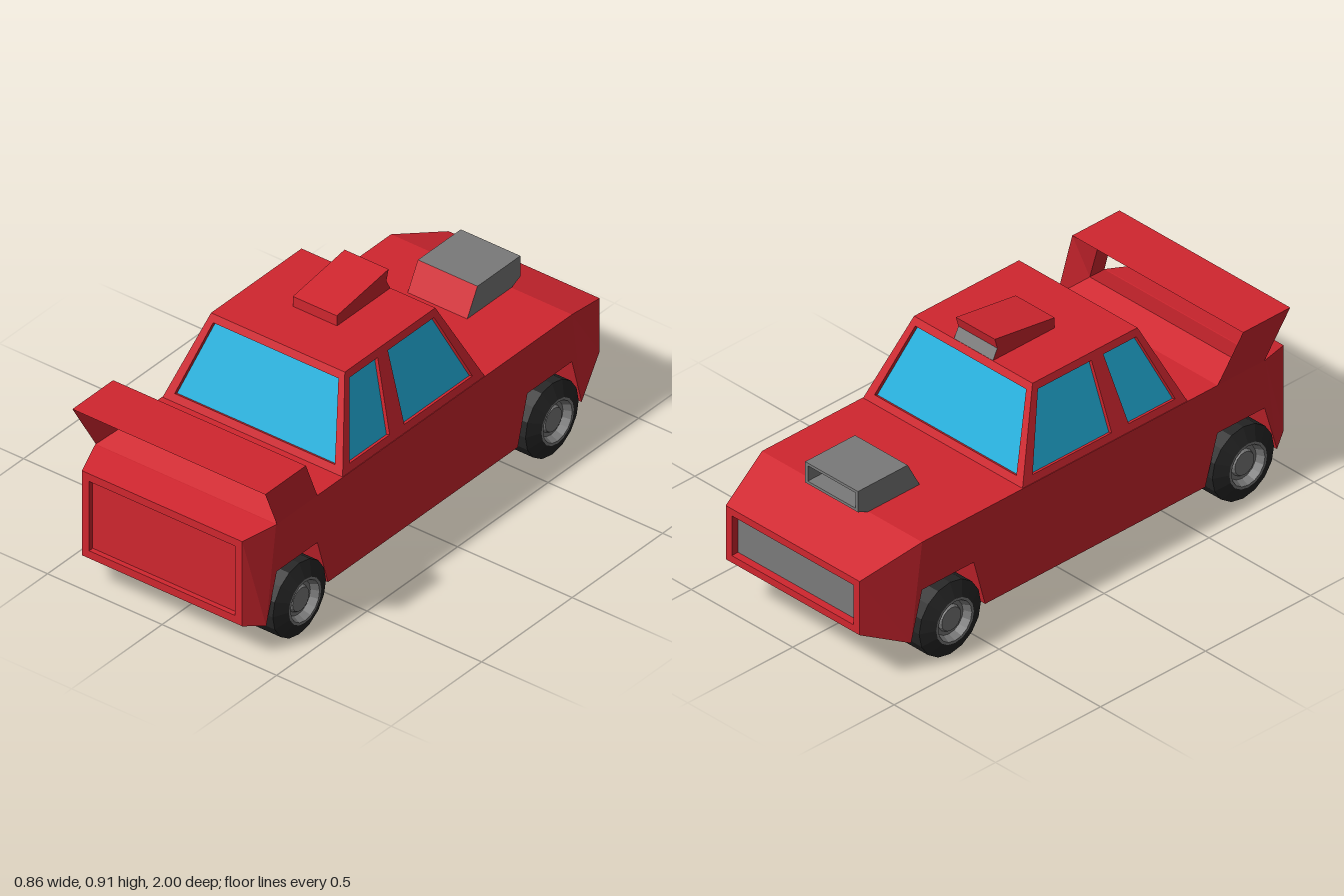
import * as THREE from 'three';

const mat = (color, side = THREE.FrontSide) => new THREE.MeshStandardMaterial({ color, flatShading: true, side });
const red = mat(0xd0262f), glass = mat(0x22b0dc), black = mat(0x262626), grey = mat(0x7a7a7a);

// Flat-shaded mesh from a list of quads (corners anticlockwise from outside)
function quadMesh(name, quads, material) {
  const pos = [];
  for (const [a, b, c, d] of quads) for (const p of [a, b, c, a, c, d]) pos.push(...p);
  const g = new THREE.BufferGeometry();
  g.setAttribute('position', new THREE.Float32BufferAttribute(pos, 3));
  g.computeVertexNormals();
  const m = new THREE.Mesh(g, material);
  m.name = name;
  return m;
}

// Quads joining successive four-corner rings
function skin(rings) {
  const quads = [];
  for (let k = 0; k + 1 < rings.length; k++) {
    const a = rings[k], b = rings[k + 1];
    for (let i = 0; i < 4; i++) {
      const j = (i + 1) % 4;
      quads.push([a[i], a[j], b[j], b[i]]);
    }
  }
  return quads;
}

// Ring across the car: top edge at zt/yt, bottom edge at zb/yb, half widths for each
const ring = (zt, yt, zb, yb, wb, wt = wb) => [[-wb, yb, zb], [wb, yb, zb], [wt, yt, zt], [-wt, yt, zt]];
const flip = ([a, b, c, d]) => [b, a, d, c];
const mirror = (q) => flip(q.map(([x, y, z]) => [-x, y, z]));

// Border around a quad with a sunken panel inside it
function framedPanel(name, P, mu, mv, depth, frameMat, panelMat) {
  const V = P.map((p) => new THREE.Vector3(...p));
  const at = (u, v) => V[0].clone().lerp(V[1], u).lerp(V[3].clone().lerp(V[2], u), v);
  const n = V[1].clone().sub(V[0]).cross(V[3].clone().sub(V[0])).normalize();
  const Q = [at(mu, mv), at(1 - mu, mv), at(1 - mu, 1 - mv), at(mu, 1 - mv)];
  const R = Q.map((q) => q.clone().addScaledVector(n, -depth).toArray());
  const group = new THREE.Group();
  group.name = name;
  group.add(
    quadMesh(name + 'Frame', skin([P, Q.map((q) => q.toArray()), R]), frameMat),
    quadMesh(name + 'Panel', [R], panelMat));
  return group;
}

function makeBody() {
  const g = new THREE.Group();
  g.name = 'body';
  const W = 0.395;
  // Nose, front arch, middle, rear arch, tail
  const rings = [
    ring(-1, 0.425, -1, 0.205, 0.33),
    ring(-0.765, 0.51, -0.818, 0.12, W),
    ring(-0.755, 0.51, -0.765, 0.315, W),
    ring(-0.53, 0.51, -0.519, 0.315, W),
    ring(-0.5, 0.51, -0.465, 0.12, W),
    ring(0.6, 0.51, 0.583, 0.12, W),
    ring(0.65, 0.51, 0.642, 0.315, W),
    ring(0.85, 0.51, 0.866, 0.315, W),
    ring(0.87, 0.51, 0.925, 0.12, W),
    ring(1, 0.49, 1, 0.14, 0.35),
  ];
  g.add(quadMesh('bodyShell', skin(rings), red));
  g.add(framedPanel('grille', flip(rings[0]), 0.045, 0.13, 0.03, red, grey));
  g.add(framedPanel('tailPanel', rings[9], 0.045, 0.09, 0.02, red, red));
  return g;
}

function makeCabin() {
  const g = new THREE.Group();
  g.name = 'cabin';
  const front = ring(-0.14, 0.827, -0.285, 0.51, 0.393, 0.292);
  const back = ring(0.36, 0.827, 0.5, 0.51, 0.393, 0.292);
  g.add(quadMesh('roof', [[back[3], back[2], front[2], front[3]]], red));
  g.add(framedPanel('windscreen', flip(front), 0.045, 0.085, 0.015, red, glass));
  g.add(framedPanel('rearWindow', back, 0.045, 0.085, 0.015, red, glass));
  // Side windows meet at the slanted pillar
  const pillarBase = [0.393, 0.51, 0.195], pillarTop = [0.292, 0.827, 0.16];
  const rearSide = [back[1], pillarBase, pillarTop, back[2]];
  const frontSide = [pillarBase, front[1], front[2], pillarTop];
  for (const [label, f] of [['left', (q) => q], ['right', mirror]]) {
    g.add(framedPanel(label + 'RearSideWindow', f(rearSide), 0.125, 0.085, 0.015, red, glass));
    g.add(framedPanel(label + 'FrontSideWindow', f(frontSide), 0.095, 0.085, 0.015, red, glass));
  }
  return g;
}

function makeRoofScoop() {
  const g = new THREE.Group();
  g.name = 'roofScoop';
  const w = 0.096;
  const lowFront = ring(-0.118, 0.868, -0.14, 0.825, w), lowBack = ring(0.155, 0.868, 0.155, 0.825, w);
  const lip = ring(-0.13, 0.91, -0.118, 0.868, w), lipBack = ring(0.155, 0.869, 0.155, 0.868, w);
  g.add(quadMesh('roofScoopShell', [...skin([lowFront, lowBack]), ...skin([lip, lipBack]), lowBack, flip(lip)], red));
  g.add(quadMesh('roofScoopIntake', [flip(lowFront)], grey));
  return g;
}

function makeHoodScoop() {
  const g = new THREE.Group();
  g.name = 'hoodScoop';
  const w = 0.13;
  const mouth = ring(-0.815, 0.615, -0.815, 0.53, w);
  const foot = ring(-0.765, 0.615, -0.765, 0.508, w);
  const back = ring(-0.578, 0.615, -0.52, 0.508, w);
  g.add(quadMesh('hoodScoopShell', skin([mouth, foot, back]), grey));
  g.add(quadMesh('hoodScoopBack', [back], red));
  g.add(framedPanel('hoodScoopMouth', flip(mouth), 0.05, 0.13, 0.1, grey, grey));
  return g;
}

// Spoiler: closed loop with a triangular section, leaning backwards
function makeSpoiler() {
  const rear = ring(0.963, 0.695, 0.866, 0.51, 0.395, 0.421);
  const inner = ring(0.835, 0.655, 0.755, 0.55, 0.352, 0.383);
  const front = ring(0.738, 0.695, 0.642, 0.51, 0.395, 0.421);
  return quadMesh('spoiler', skin([rear, inner, front, rear]), red);
}

// Wheel axis runs along x; side is +1 for left, -1 for right
function makeWheel(name, side, z) {
  const g = new THREE.Group();
  g.name = name;
  const lathe = (part, pts, m) => {
    const mesh = new THREE.Mesh(new THREE.LatheGeometry(pts.map((p) => new THREE.Vector2(...p)), 16), m);
    mesh.name = part;
    g.add(mesh);
  };
  lathe('tyre', [[0, 0.23], [0.147, 0.23], [0.147, 0.405], [0.09, 0.43]], black);
  lathe('rim', [[0.09, 0.43], [0.08, 0.43], [0.067, 0.4], [0.052, 0.4], [0.046, 0.412], [0, 0.412]], grey);
  g.rotation.z = -side * Math.PI / 2;
  g.position.set(0, 0.147, z);
  return g;
}

export function createModel() {
  const model = new THREE.Group();
  model.name = 'car';
  model.add(makeBody(), makeCabin(), makeRoofScoop(), makeHoodScoop(), makeSpoiler());
  for (const [label, side] of [['left', 1], ['right', -1]]) {
    model.add(makeWheel(label + 'FrontWheel', side, -0.642), makeWheel(label + 'RearWheel', side, 0.754));
  }
  return model;
}
